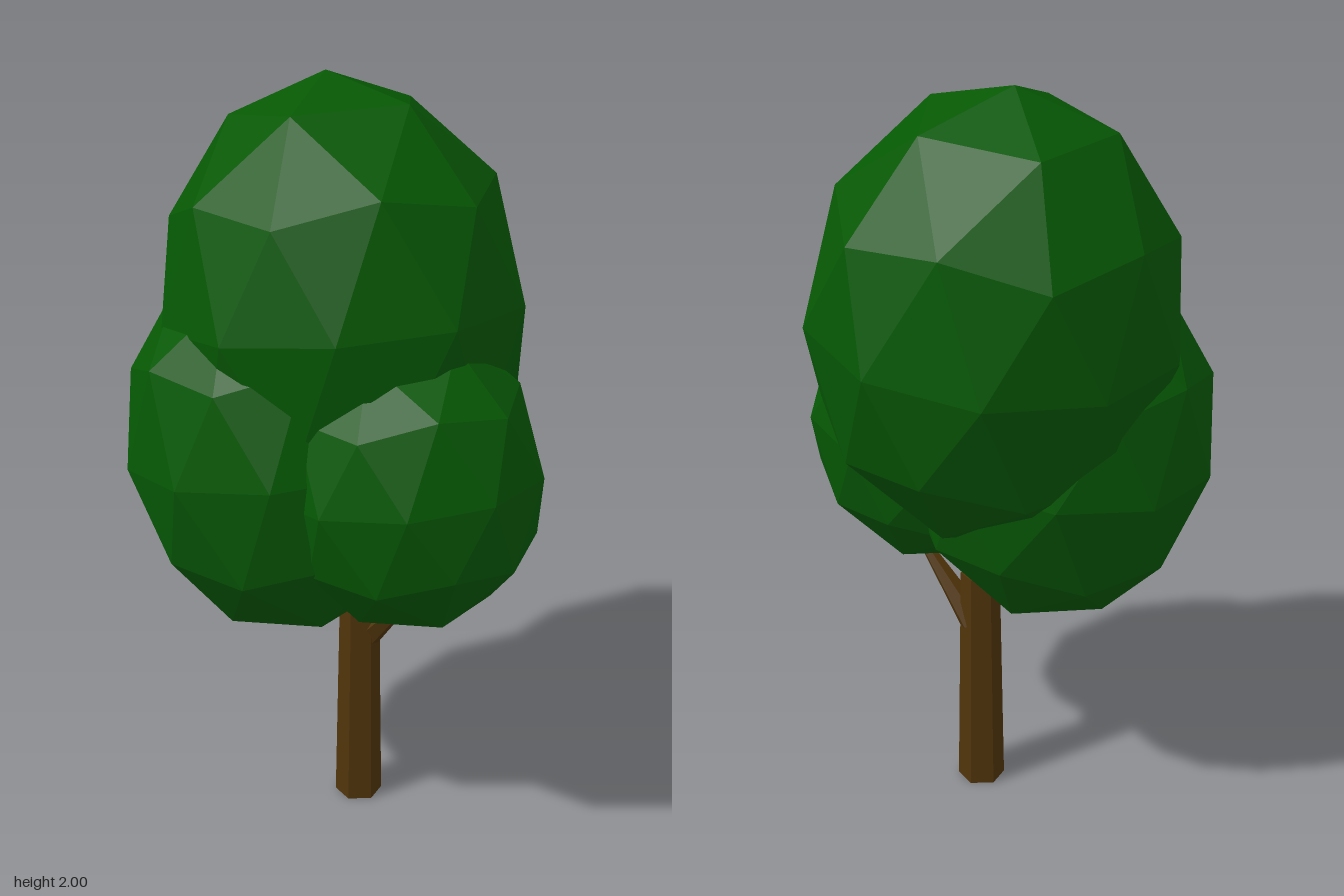
import * as THREE from 'three';

const leafMaterial = new THREE.MeshStandardMaterial({ color: 0x065804, flatShading: true });
const barkMaterial = new THREE.MeshStandardMaterial({ color: 0x50340a, flatShading: true });

const POLE_TILT = Math.atan((1 + Math.sqrt(5)) / 2); // brings an icosahedron corner to the top
const LEAN = -0.13;

// Faceted ellipsoid of foliage, leaning slightly back and sideways
function foliage(name, center, radii, roll) {
  const geometry = new THREE.IcosahedronGeometry(1, 1);
  geometry.rotateX(-POLE_TILT);
  geometry.scale(...radii);
  geometry.rotateX(LEAN);
  geometry.rotateZ(roll);
  const mesh = new THREE.Mesh(geometry, leafMaterial);
  mesh.name = name;
  mesh.position.set(...center);
  return mesh;
}

// Tapered six-sided limb running between two points
function limb(name, from, to, r0, r1, turn) {
  const a = new THREE.Vector3(...from);
  const b = new THREE.Vector3(...to);
  const dir = b.clone().sub(a);
  const geometry = new THREE.CylinderGeometry(r1, r0, dir.length(), 6);
  geometry.rotateY(turn);
  const mesh = new THREE.Mesh(geometry, barkMaterial);
  mesh.name = name;
  mesh.position.copy(a).add(b).multiplyScalar(0.5);
  mesh.quaternion.setFromUnitVectors(new THREE.Vector3(0, 1, 0), dir.normalize());
  return mesh;
}

export function createModel() {
  const tree = new THREE.Group();
  tree.name = 'tree';

  // Trunk and forward branch
  tree.add(limb('trunk', [0.001, 0, 0.01], [0.003, 0.655, 0.012], 0.065, 0.053, 0.73));
  tree.add(limb('branch', [0.012, 0.5, 0.025], [0.025, 0.685, 0.185], 0.042, 0.016, 0.5));

  // Three overlapping foliage masses
  tree.add(foliage('topFoliage', [0.042, 1.412, -0.068], [0.475, 0.592, 0.475], -0.04));
  tree.add(foliage('backFoliage', [-0.12, 1.07, -0.15], [0.4, 0.518, 0.412], 0));
  tree.add(foliage('frontFoliage', [-0.052, 1.05, 0.2], [0.345, 0.408, 0.36], 0));

  return tree;
}
